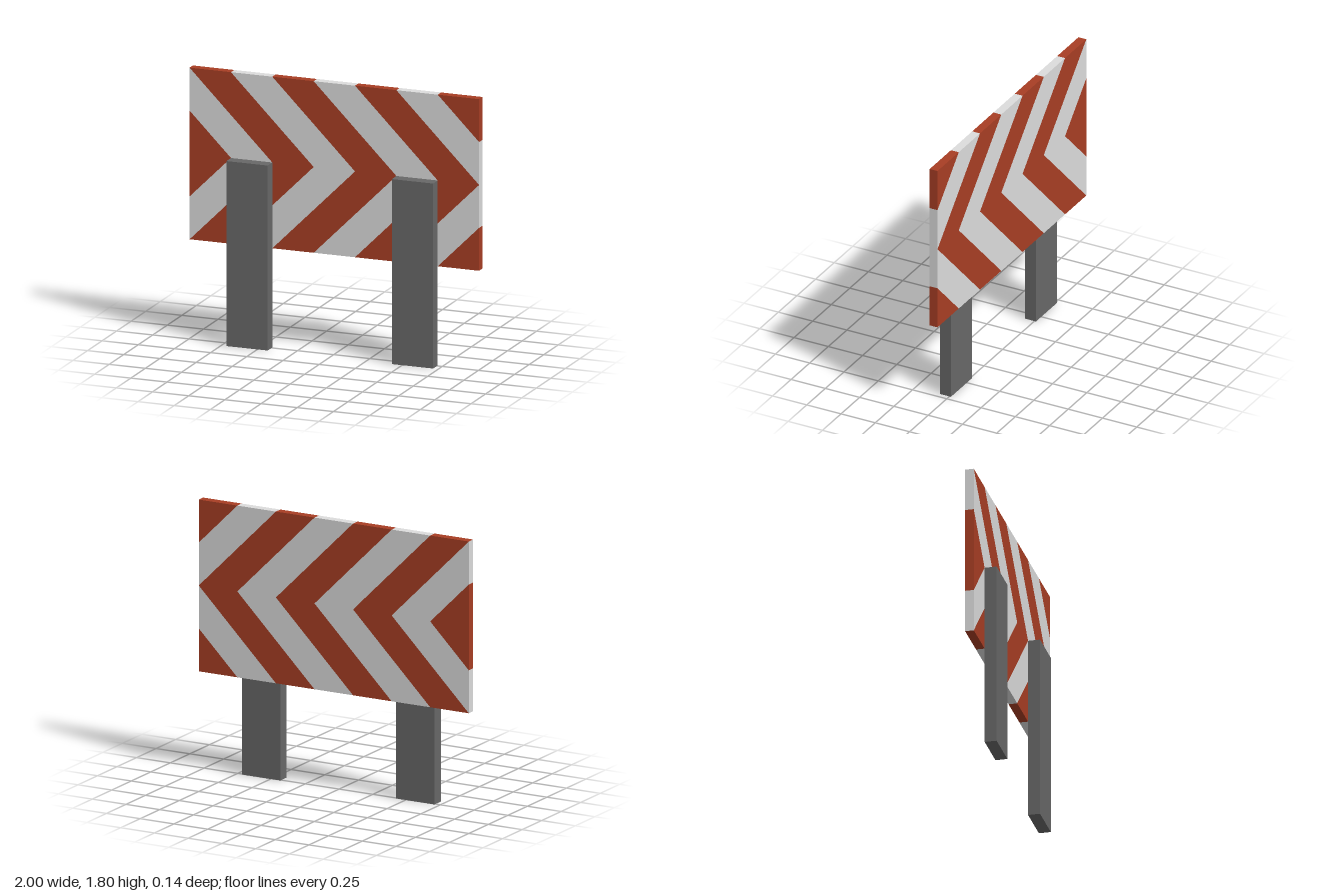
import * as THREE from 'three';

// The board is a 7 x 4 grid of this unit; stripes are one unit wide at 45 degrees
const U = 2 / 7;
const BOARD_MID = 1.232;
const BACK = -0.068, JOIN = -0.011, FRONT = 0.068;

// Upper or lower half of chevron j, clipped to the board
function halfChevron(j, sign) {
  const clip = (v) => Math.max(-3.5, Math.min(3.5, v));
  const rows = [0, 1, 2].map((d) => ({ d, l: clip(j - 3.5 - d), r: clip(j - 2.5 - d) }));
  const wide = (row) => row !== undefined && row.r > row.l;
  const kept = rows.filter((row, i) => wide(row) || wide(rows[i - 1]) || wide(rows[i + 1]));
  const points = kept.map((row) => new THREE.Vector2(row.r * U, sign * row.d * U));
  for (const row of kept.reverse()) {
    if (wide(row)) points.push(new THREE.Vector2(row.l * U, sign * row.d * U));
  }
  return new THREE.Shape(points);
}

export function createModel() {
  const red = new THREE.MeshStandardMaterial({ color: 0xa83e24 });
  red.name = 'brick red';
  const white = new THREE.MeshStandardMaterial({ color: 0xdcdcdc });
  white.name = 'off white';
  const grey = new THREE.MeshStandardMaterial({ color: 0x686868 });
  grey.name = 'post grey';

  const model = new THREE.Group();
  model.name = 'chevronBarrier';

  // Board made of alternating full-depth chevrons
  const board = new THREE.Group();
  board.name = 'board';
  for (let j = 0; j < 9; j++) {
    const shapes = [halfChevron(j, 1), halfChevron(j, -1)];
    const geometry = new THREE.ExtrudeGeometry(shapes, { depth: JOIN - BACK, bevelEnabled: false });
    const stripe = new THREE.Mesh(geometry, j % 2 ? white : red);
    stripe.name = j % 2 ? 'whiteChevron' : 'redChevron';
    board.add(stripe);
  }
  board.position.set(0, BOARD_MID, BACK);
  model.add(board);

  // Two posts in front of the board, reaching its middle
  for (const side of [-1, 1]) {
    const post = new THREE.Mesh(new THREE.BoxGeometry(U, BOARD_MID, FRONT - JOIN), grey);
    post.name = side > 0 ? 'leftPost' : 'rightPost';
    post.position.set(side * 2 * U, BOARD_MID / 2, (FRONT + JOIN) / 2);
    model.add(post);
  }
  return model;
}
